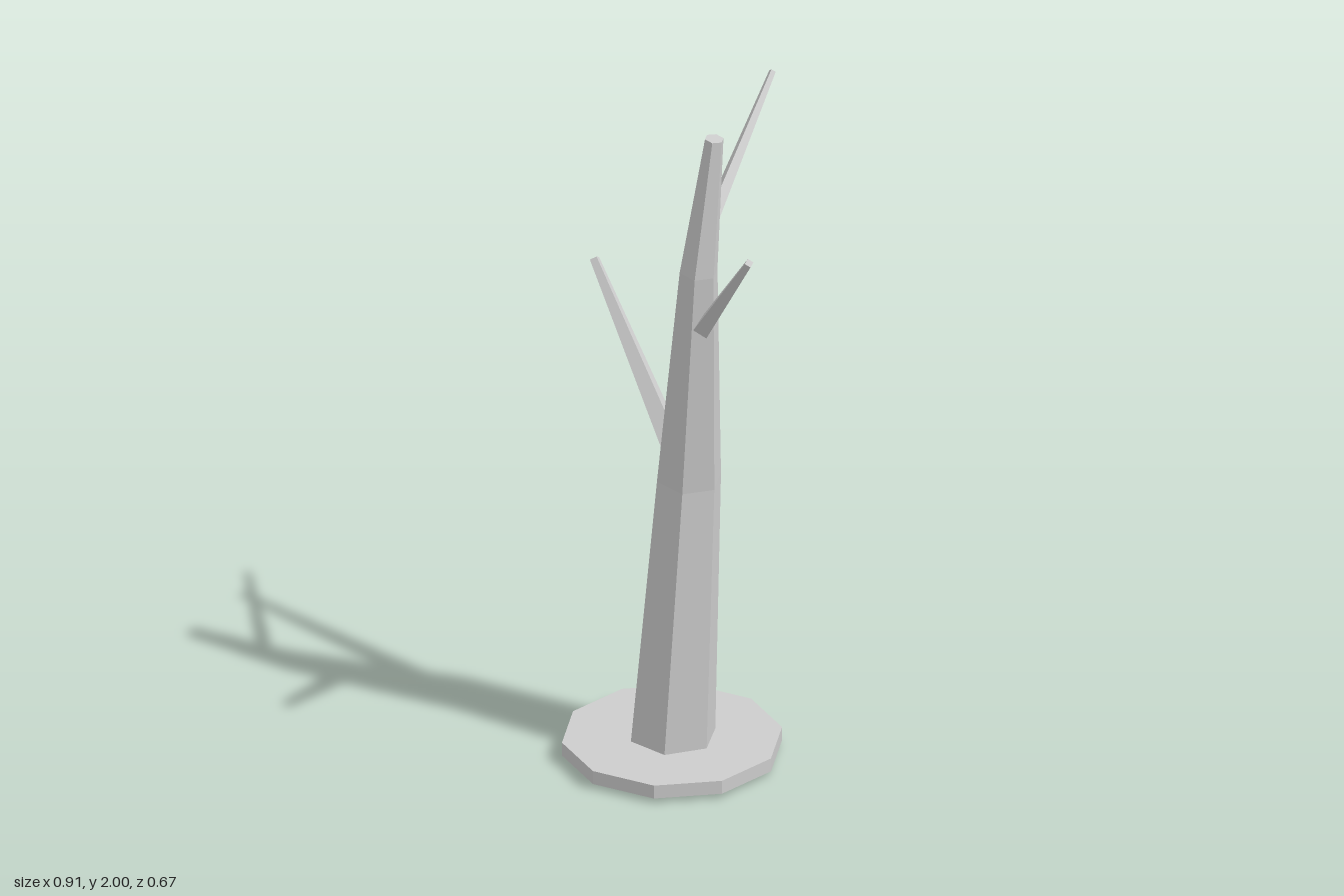
import * as THREE from 'three';

const grey = new THREE.MeshStandardMaterial({ color: 0xcccccc, flatShading: true });
grey.name = 'light grey';

// Closed faceted tube through rings [x, y, z, radius], each square to the path
function taperedLimb(name, rings, sides, ref, phase = 0) {
  const centres = rings.map(([x, y, z]) => new THREE.Vector3(x, y, z));
  const loops = rings.map(([, , , r], i) => {
    const before = centres[Math.max(i - 1, 0)];
    const after = centres[Math.min(i + 1, centres.length - 1)];
    const t = after.clone().sub(before).normalize();
    const u = ref.clone().addScaledVector(t, -ref.dot(t)).normalize();
    const v = u.clone().cross(t);
    return Array.from({ length: sides }, (_, k) => {
      const a = phase + (k / sides) * Math.PI * 2;
      return centres[i].clone()
        .addScaledVector(u, r * Math.cos(a))
        .addScaledVector(v, r * Math.sin(a));
    });
  });

  const points = [];
  const last = loops.length - 1;
  for (let k = 0; k < sides; k++) {
    const n = (k + 1) % sides;
    for (let i = 0; i < last; i++) {
      const [lo, hi] = [loops[i], loops[i + 1]];
      points.push(lo[k], hi[k], lo[n], lo[n], hi[k], hi[n]);
    }
    points.push(centres[0], loops[0][k], loops[0][n]);
    points.push(centres[last], loops[last][n], loops[last][k]);
  }
  const geometry = new THREE.BufferGeometry().setFromPoints(points);
  geometry.computeVertexNormals();
  const mesh = new THREE.Mesh(geometry, grey);
  mesh.name = name;
  return mesh;
}

// Straight four-sided branch with one ridge facing up
function branch(name, from, to) {
  const dir = new THREE.Vector3(to[0] - from[0], to[1] - from[1], to[2] - from[2]);
  const side = dir.cross(new THREE.Vector3(0, 1, 0)).normalize();
  return taperedLimb(name, [from, to], 4, side);
}

export function createModel() {
  const tree = new THREE.Group();
  tree.name = 'bareTree';

  // Ten-sided ground disc
  const base = new THREE.Mesh(new THREE.CylinderGeometry(0.306, 0.306, 0.04, 10), grey);
  base.name = 'base';
  base.position.set(-0.027, 0.035, 0.029);
  tree.add(base);

  // Six-sided leaning trunk
  tree.add(taperedLimb('trunk', [
    [-0.027, 0.007, 0.028, 0.124],
    [0.015, 0.86, 0.005, 0.093],
    [0.1, 1.55, 0.052, 0.055],
    [0.14, 1.965, 0.031, 0.027],
  ], 6, new THREE.Vector3(1, 0, 0), -0.07));

  // Branches: start and tip as [x, y, z, radius]
  tree.add(branch('lowBranch', [-0.055, 0.935, 0, 0.037], [-0.445, 1.335, -0.085, 0.015]));
  tree.add(branch('middleBranch', [0.13, 1.385, 0.063, 0.03], [0.443, 1.752, 0.196, 0.013]));
  tree.add(branch('topBranch', [0.105, 1.7, 0.005, 0.023], [0.002, 1.991, -0.331, 0.01]));

  return tree;
}
